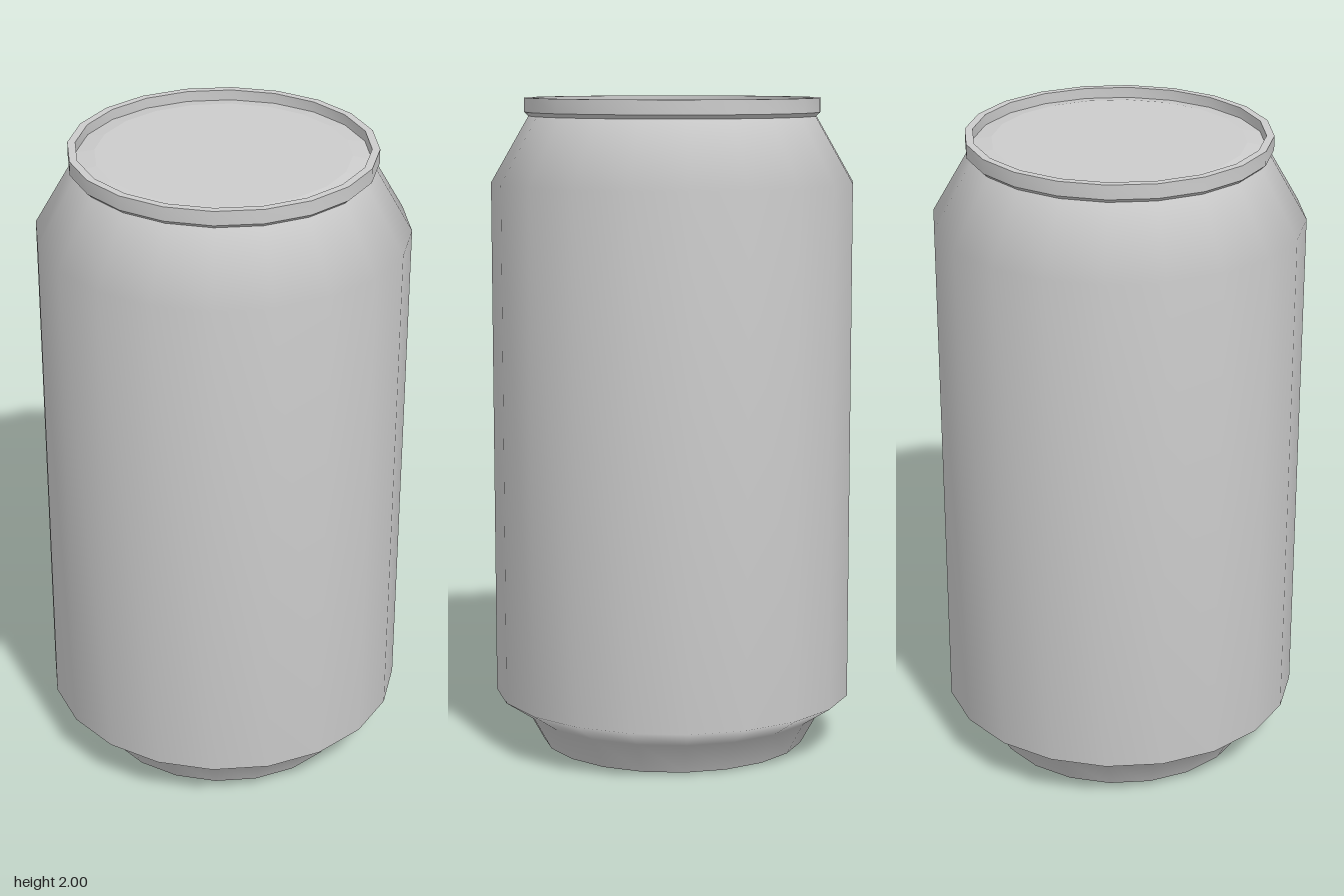
import * as THREE from 'three';
import { mergeVertices, toCreasedNormals } from 'three/addons/utils/BufferGeometryUtils.js';

const SIDES = 20;

// Revolve a [radius, height] profile; welded so normals are area weighted
function revolve(name, profile, crease) {
  const points = profile.map(([r, y]) => new THREE.Vector2(r, y));
  let geometry = new THREE.LatheGeometry(points, SIDES);
  geometry.deleteAttribute('uv');
  geometry.deleteAttribute('normal');
  geometry = mergeVertices(geometry, 1e-4);
  if (crease === undefined) geometry.computeVertexNormals();
  else geometry = toCreasedNormals(geometry, crease);
  const mesh = new THREE.Mesh(geometry, new THREE.MeshStandardMaterial({ color: 0xcccccc }));
  mesh.name = name;
  return mesh;
}

export function createModel() {
  const can = new THREE.Group();
  can.name = 'can';

  // Foot taper, straight wall and sloping shoulder, smooth throughout
  can.add(revolve('body', [
    [0.41, 0], [0.465, 0.1], [0.555, 0.16], [0.555, 1.745], [0.44, 1.945],
  ]));

  // Base bowed slightly inward
  can.add(revolve('base', [[0, 0.05], [0.22, 0.036], [0.41, 0]]));

  // Raised rim around the top
  can.add(revolve('rim', [
    [0.44, 1.945], [0.453, 1.957], [0.453, 2], [0.43, 2], [0.43, 1.968],
  ], Math.PI / 6));

  // Lid with a bevelled border, faceted
  can.add(revolve('lid', [[0.43, 1.968], [0.375, 1.978], [0, 1.978]], 0.02));

  return can;
}
